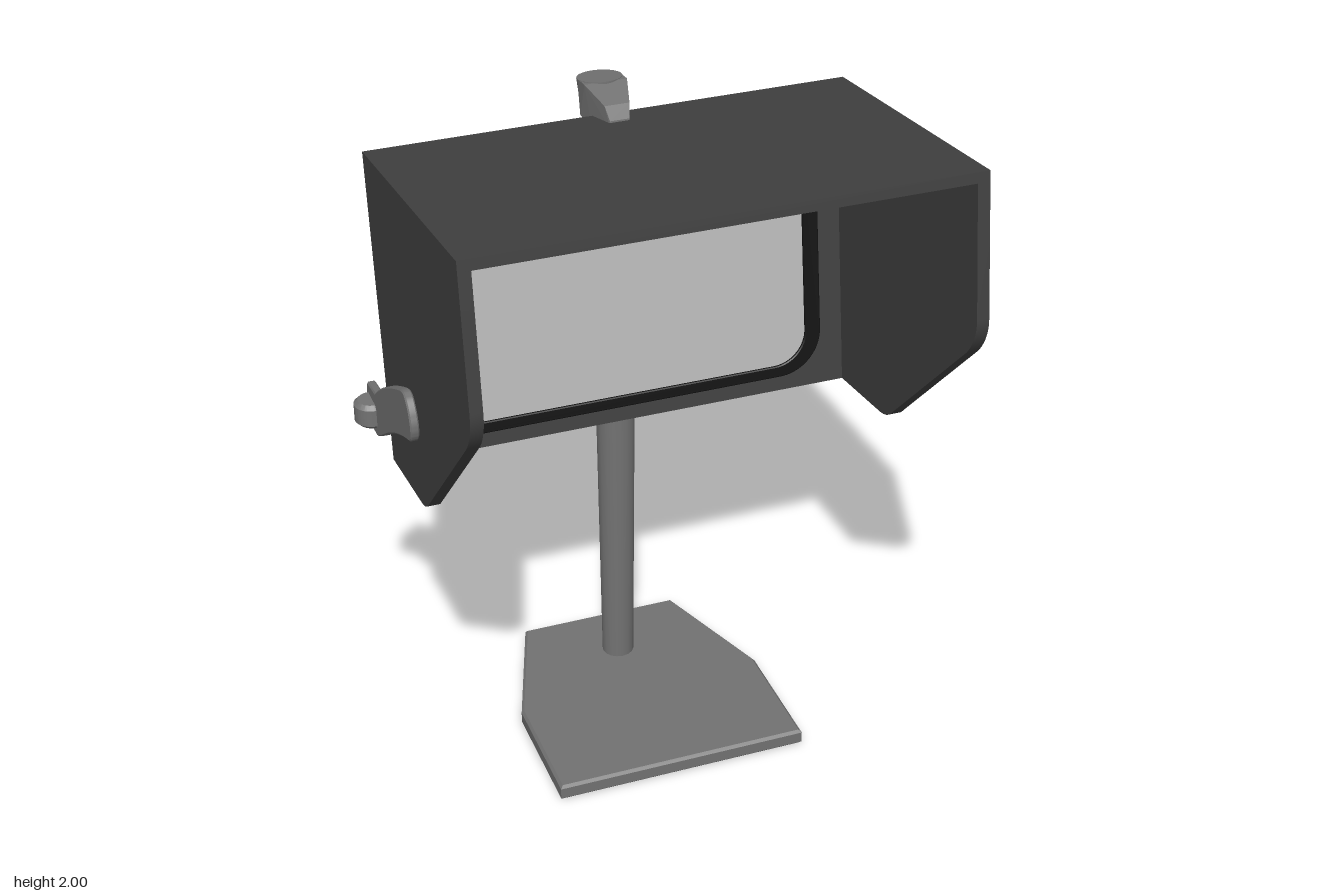
import * as THREE from 'three';
import { toCreasedNormals } from 'three/addons/utils/BufferGeometryUtils.js';
import { ConvexGeometry } from 'three/addons/geometries/ConvexGeometry.js';

const material = (name, color) => {
  const m = new THREE.MeshStandardMaterial({ color });
  m.name = name;
  return m;
};

// Extrusion whose total depth and outline include the bevel
function extrude(shape, depth, bevel = 0) {
  const g = new THREE.ExtrudeGeometry(shape, {
    depth: depth - 2 * bevel, curveSegments: 10, bevelEnabled: bevel > 0,
    bevelThickness: bevel, bevelSize: bevel, bevelOffset: -bevel, bevelSegments: 1,
  });
  g.translate(0, 0, bevel);
  return toCreasedNormals(g, 0.5);
}

// Turn a (z, y) side profile so that it spans x0 to x0 + depth
const sideOn = (g, x0, depth) => g.rotateY(-Math.PI / 2).translate(x0 + depth, 0, 0);

function roundedRect(C, w, h, r) {
  const s = new C();
  s.absarc(w - r, h - r, r, 0, Math.PI / 2);
  s.absarc(-w + r, h - r, r, Math.PI / 2, Math.PI);
  s.absarc(-w + r, -h + r, r, Math.PI, Math.PI * 1.5);
  s.absarc(w - r, -h + r, r, Math.PI * 1.5, Math.PI * 2);
  s.closePath();
  return s;
}

export function createModel() {
  const model = new THREE.Group();
  const casing = material('dark casing', 0x404040);
  const metal = material('grey metal', 0x727272);
  const black = material('black bezel', 0x121212);
  const glass = material('pale screen', 0xb8b8b8);

  const add = (parent, name, geometry, mat) => {
    const mesh = new THREE.Mesh(geometry, mat);
    mesh.name = name;
    parent.add(mesh);
    return mesh;
  };

  // Base plate
  const base = new THREE.Shape([
    [-0.38, -0.2], [0.38, -0.2], [0.38, 0.18], [0.245, 0.567], [-0.245, 0.567], [-0.38, 0.18],
  ].map(([x, y]) => new THREE.Vector2(x, y)));
  add(model, 'base', extrude(base, 0.05, 0.008).rotateX(-Math.PI / 2), metal);

  // Lower pole, widening sideways towards the top
  const pole = new THREE.CylinderGeometry(0.06, 0.048, 1.02, 16, 1);
  const p = pole.attributes.position;
  for (let i = 0; i < p.count; i++) {
    p.setZ(i, p.getZ(i) * 0.047 / (p.getY(i) > 0 ? 0.06 : 0.048));
  }
  pole.computeVertexNormals();
  add(model, 'lowerPole', toCreasedNormals(pole.translate(0, 0.55, -0.38), 0.6), metal);

  // Upper pole leaning back
  const lean = -0.108;
  const upper = add(model, 'upperPole', new THREE.CylinderGeometry(0.038, 0.042, 0.8, 16), metal);
  upper.position.set(0, 1.46, -0.42);
  upper.rotation.x = lean;

  // Top clamp: round sleeve with a tapered hook over the casing
  const clamp = new THREE.Group();
  clamp.name = 'topClamp';
  model.add(clamp);
  const sleeve = add(clamp, 'sleeve', new THREE.CylinderGeometry(0.064, 0.054, 0.125, 24), metal);
  sleeve.position.set(0, 1.885, -0.475);
  sleeve.rotation.x = -0.15;
  const hook = [];
  for (const s of [-1, 1]) {
    for (const [x, y, z] of [
      [0.028, 1.862, -0.312], [0.028, 1.888, -0.316], [0.036, 1.925, -0.337],
      [0.062, 1.953, -0.43], [0.062, 1.945, -0.49], [0.062, 1.845, -0.47], [0.05, 1.838, -0.41],
    ]) hook.push(new THREE.Vector3(s * x, y, z));
  }
  add(clamp, 'hook', new ConvexGeometry(hook), metal);

  // Cross bar with rounded ends
  const bar = roundedRect(THREE.Shape, 0.777, 0.05, 0.0499);
  add(model, 'crossBar', extrude(bar, 0.075, 0.012).rotateX(-Math.PI / 2).translate(0, 1.035, -0.39), metal);

  // Side arms
  const arm = new THREE.Shape();
  arm.moveTo(-0.43, 1.005);
  arm.lineTo(-0.35, 1.008);
  arm.quadraticCurveTo(-0.31, 1.03, -0.28, 1.05);
  arm.quadraticCurveTo(-0.13, 1.16, 0.03, 1.215);
  arm.quadraticCurveTo(0.055, 1.23, 0.053, 1.27);
  arm.quadraticCurveTo(0.04, 1.325, 0.0, 1.345);
  arm.quadraticCurveTo(-0.02, 1.35, -0.05, 1.335);
  arm.quadraticCurveTo(-0.24, 1.245, -0.35, 1.15);
  arm.lineTo(-0.435, 1.14);
  arm.quadraticCurveTo(-0.47, 1.07, -0.43, 1.005);
  for (const [name, x] of [['leftArm', 0.7], ['rightArm', -0.725]]) {
    add(model, name, sideOn(extrude(arm, 0.025, 0.004), x, 0.025), metal);
  }

  // Tilted casing, measured from its lower back edge
  const hood = new THREE.Group();
  hood.name = 'hood';
  hood.position.set(0, 0.97, -0.275);
  hood.rotation.x = -0.139;
  model.add(hood);

  const box = (w, h, d, y, z) => new THREE.BoxGeometry(w, h, d).translate(0, y, z);
  add(hood, 'backPanel', box(1.34, 0.885, 0.035, 0.4425, 0.0175), casing);
  add(hood, 'topPanel', box(1.4, 0.03, 0.92, 0.895, 0.46), casing);

  const side = new THREE.Shape();
  side.moveTo(0, 0);
  side.lineTo(0.3, 0);
  side.quadraticCurveTo(0.355, 0, 0.39, 0.032);
  side.lineTo(0.86, 0.395);
  side.quadraticCurveTo(0.92, 0.45, 0.92, 0.51);
  side.lineTo(0.92, 0.88);
  side.lineTo(0, 0.88);
  side.closePath();
  for (const [name, x] of [['leftPanel', 0.665], ['rightPanel', -0.7]]) {
    add(hood, name, sideOn(extrude(side, 0.035), x, 0.035), casing);
  }

  // Screen and its raised bezel
  const ring = roundedRect(THREE.Shape, 0.592, 0.396, 0.13);
  ring.holes.push(roundedRect(THREE.Path, 0.545, 0.362, 0.1));
  add(hood, 'bezel', extrude(ring, 0.018, 0.003).translate(0, 0.445, 0.034), black);
  const screen = roundedRect(THREE.Shape, 0.548, 0.365, 0.1);
  add(hood, 'screen', extrude(screen, 0.009).translate(0, 0.445, 0.034), glass);

  return model;
}
